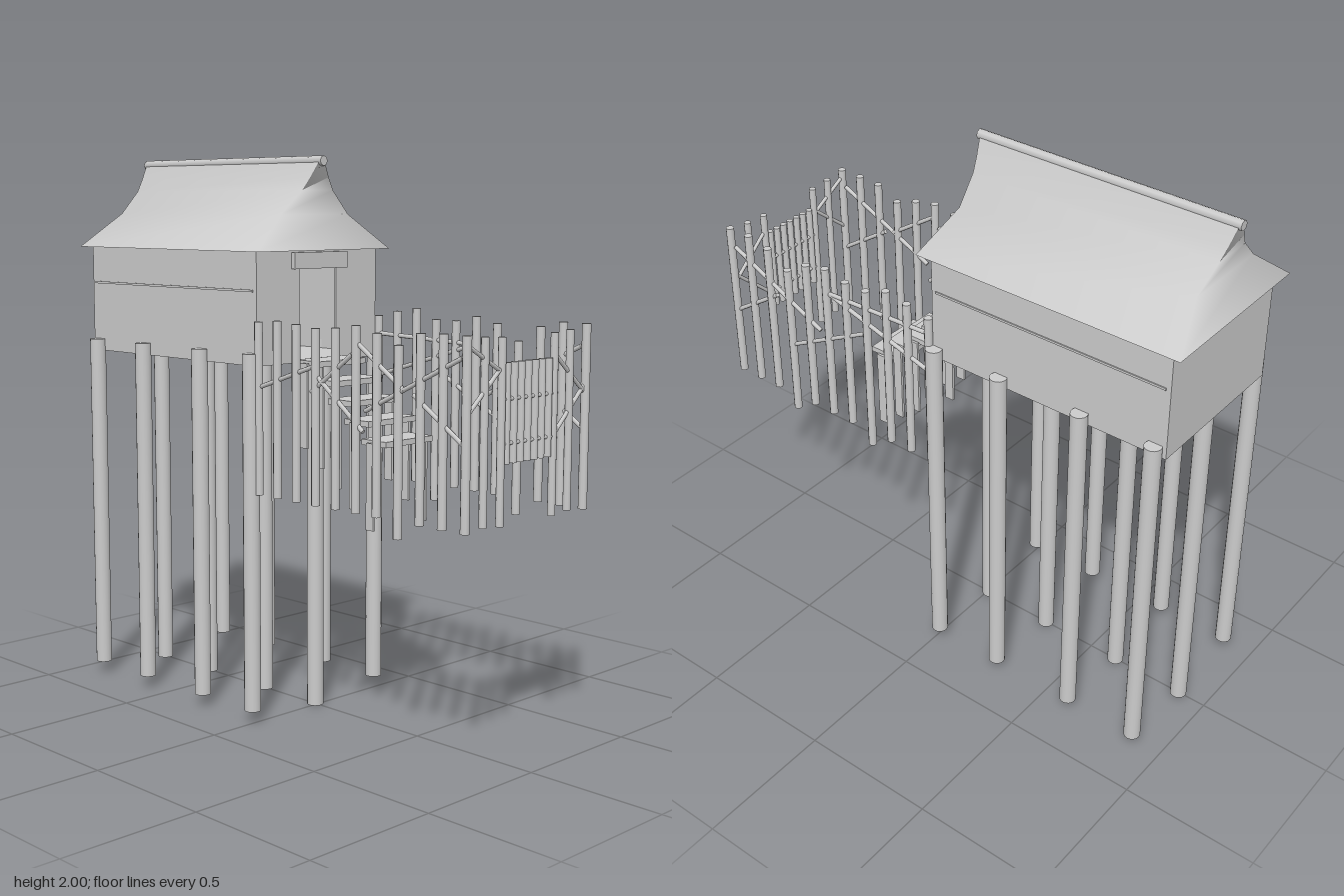
import * as THREE from 'three';

const mat = new THREE.MeshStandardMaterial({ color: 0xcccccc, side: THREE.DoubleSide });

export function createModel() {
  const model = new THREE.Group();

  function add(name, geometry, x = 0, y = 0, z = 0) {
    const mesh = new THREE.Mesh(geometry, mat);
    mesh.name = name;
    mesh.position.set(x, y, z);
    model.add(mesh);
    return mesh;
  }
  const box = (name, w, h, d, x, y, z) => add(name, new THREE.BoxGeometry(w, h, d), x, y, z);

  // Round pole between two points
  function pole(name, a, b, r, sides = 10) {
    const from = new THREE.Vector3(...a), to = new THREE.Vector3(...b);
    const dir = to.clone().sub(from);
    const mesh = add(name, new THREE.CylinderGeometry(r, r, dir.length(), sides));
    mesh.position.copy(from).add(to).multiplyScalar(0.5);
    mesh.quaternion.setFromUnitVectors(new THREE.Vector3(0, 1, 0), dir.normalize());
    return mesh;
  }

  // Hollow hut: floor, back, sides, and a front wall with a doorway
  const zMid = -0.4625, yMid = 1.4725;
  box('floor', 0.59, 0.012, 0.935, 0, 1.281, zMid);
  box('backWall', 0.59, 0.395, 0.01, 0, yMid, -0.925);
  for (const s of [-1, 1]) {
    box('sideWall', 0.01, 0.395, 0.935, s * 0.29, yMid, zMid);
    box('sideBatten', 0.006, 0.008, 0.9, s * 0.296, 1.535, zMid);
  }
  const front = new THREE.Shape();
  [[-0.295, 1.275], [-0.09, 1.275], [-0.09, 1.62], [0.09, 1.62], [0.09, 1.275],
    [0.295, 1.275], [0.295, 1.67], [-0.295, 1.67]]
    .forEach(([x, y], i) => (i ? front.lineTo(x, y) : front.moveTo(x, y)));
  add('frontWall', new THREE.ExtrudeGeometry(front, { depth: 0.01, bevelEnabled: false }), 0, 0, -0.005);
  box('doorLintel', 0.26, 0.058, 0.02, 0, 1.635, 0.013);

  // Concave roof lofted from rectangles: half width, height, front z, back z
  const rings = [
    [0.325, 1.67, 0.045, -0.97],
    [0.165, 1.795, -0.01, -0.915],
    [0.075, 1.88, 0.004, -0.93],
    [0.045, 1.925, 0.013, -0.94],
    [0.015, 1.978, 0.024, -0.95],
  ];
  const pos = [], idx = [];
  for (const [w, y, f, b] of rings) pos.push(-w, y, f, w, y, f, w, y, b, -w, y, b);
  for (let r = 0; r < rings.length - 1; r++) {
    for (let k = 0; k < 4; k++) {
      const a = r * 4 + k, b = r * 4 + (k + 1) % 4;
      idx.push(a, b, b + 4, a, b + 4, a + 4);
    }
  }
  const roof = new THREE.BufferGeometry();
  roof.setAttribute('position', new THREE.Float32BufferAttribute(pos, 3));
  roof.setIndex(idx);
  roof.computeVertexNormals();
  add('roof', roof);
  const soffit = new THREE.PlaneGeometry(0.65, 1.015).rotateX(Math.PI / 2);
  add('roofUnderside', soffit, 0, 1.67, zMid);
  pole('ridgePole', [0, 1.982, 0.035], [0, 1.982, -0.96], 0.018, 8);

  // Stilts in three rows
  for (const z of [-0.01, -0.285, -0.61, -0.89]) {
    for (const x of [-0.31, 0, 0.31]) {
      const drop = x === 0 ? 0 : 0.045;
      pole('stilt', [x, drop, z], [x, 1.275 + drop, z], 0.03, 16);
    }
  }

  // Stairs: treads with a hanging board on either side
  for (let i = 0; i < 5; i++) {
    const z = 0.395 - i * 0.081, y = 1.03 + i * 0.062;
    box('stairTread', 0.235, 0.02, 0.115, 0, y, z);
    for (const s of [-1, 1]) box('stairSupport', 0.01, 0.3, 0.035, s * 0.131, y - 0.148, z);
  }

  // Side fence posts
  const tops = [1.425, 1.445, 1.46, 1.425, 1.425, 1.445, 1.425, 1.37, 1.425, 1.445, 1.445];
  tops.forEach((top, i) => {
    const z = 0.02 + i * 0.0938;
    for (const s of [-1, 1]) {
      const h = s > 0 ? top : tops[(i + 5) % 11] * 0.3 + top * 0.7;
      const bottom = i === 7 || (i === 3 && s > 0) ? 0.77 : 0.828;
      pole('fencePost', [s * 0.3, bottom, z], [s * 0.3, h, z], 0.015);
    }
  });

  // Front fence posts and the short pickets between them
  const zF = 0.957;
  for (const s of [-1, 1]) {
    pole('frontPost', [s * 0.214, 0.835, zF], [s * 0.214, 1.43, zF], 0.013);
    pole('frontPost', [s * 0.132, 0.828, zF], [s * 0.132, 1.425, zF], 0.013);
  }
  for (let i = -3; i <= 3; i++) {
    pole('gatePicket', [i * 0.035, 1.025, zF], [i * 0.035, 1.345, zF], 0.012);
  }
  for (const y of [1.09, 1.23]) pole('gateRail', [-0.13, y, zF], [0.13, y, zF], 0.007, 8);

  // Slanted front rails: x, y to x, y
  for (const [x0, y0, x1, y1] of [
    [-0.3, 1.41, -0.13, 1.315], [-0.3, 1.19, -0.13, 1.335],
    [0.3, 1.215, 0.13, 1.36], [0.3, 1.25, 0.13, 1.09],
  ]) pole('frontRail', [x0, y0, zF], [x1, y1, zF], 0.007, 8);

  // Slanted side rails: side, z, y to z, y
  for (const [s, z0, y0, z1, y1] of [
    [1, 0.94, 1.37, 0.53, 1.17], [1, 0.95, 1.1, 0.74, 1.24],
    [1, 0.68, 1.05, 0.3, 1.25], [1, 0.48, 1.345, 0.02, 1.36],
    [1, 0.48, 1.345, 0.02, 1.205],
    [-1, 0.94, 1.37, 0.53, 1.17], [-1, 0.95, 1.1, 0.74, 1.24],
    [-1, 0.7, 1.25, 0.49, 1.39], [-1, 0.52, 1.1, 0.3, 1.27],
    [-1, 0.47, 1.35, 0.28, 1.21], [-1, 0.3, 1.3, 0.02, 1.205],
  ]) pole('sideRail', [s * 0.298, y0, z0], [s * 0.298, y1, z1], 0.008, 8);

  return model;
}
